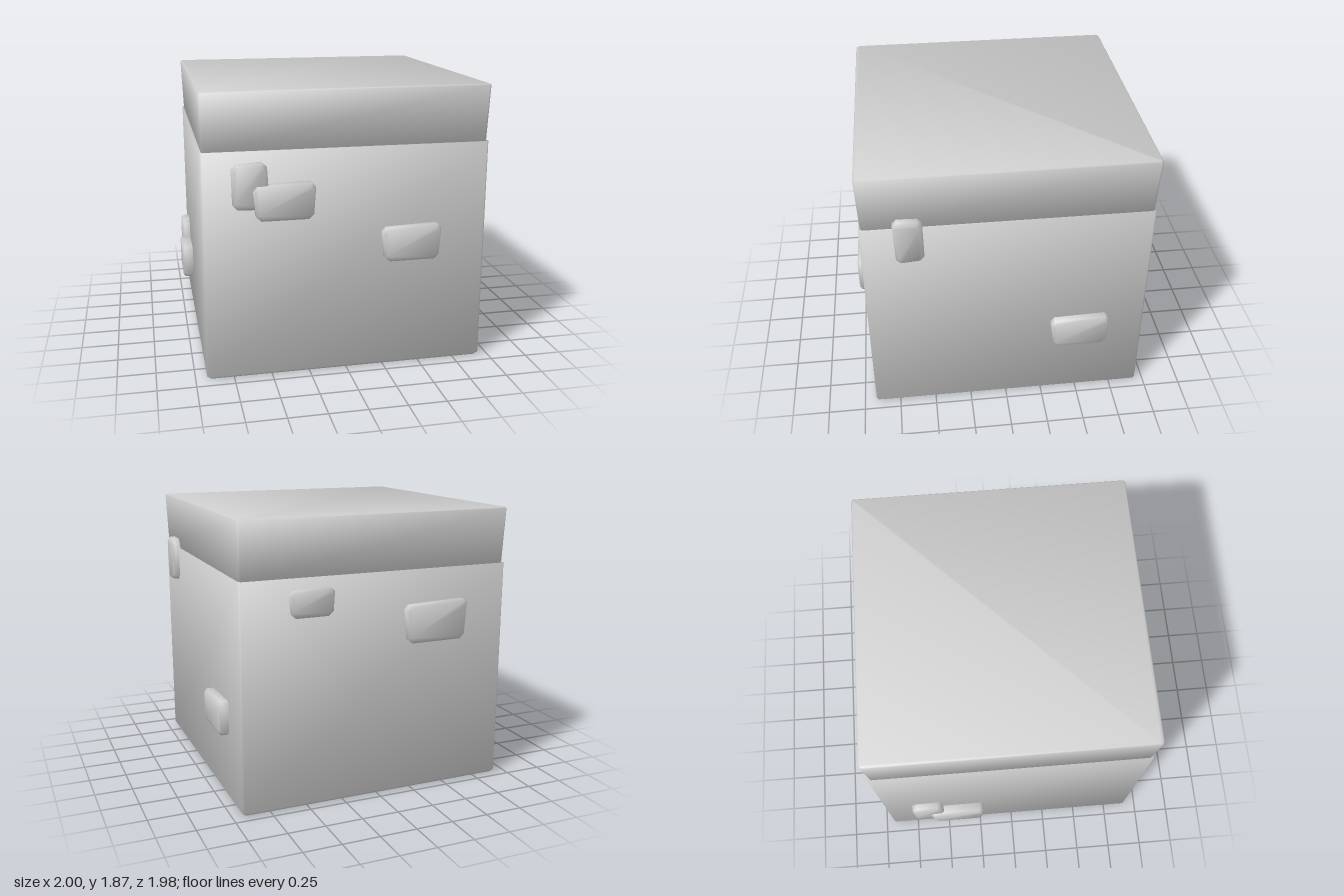
import * as THREE from 'three';

const material = new THREE.MeshStandardMaterial({ color: 0xcccccc });

// Ring of 8 points: a four-cornered outline, inset and with its corners cut.
function ring(corners, inset, cut, depth) {
  const centre = corners.reduce((s, c) => s.add(c), new THREE.Vector2()).divideScalar(4);
  const pts = corners.map(c => new THREE.Vector2(
    c.x - Math.sign(c.x - centre.x) * inset,
    c.y - Math.sign(c.y - centre.y) * inset));
  return pts.flatMap((p, i) => [pts[(i + 3) % 4], pts[(i + 1) % 4]].map(q => {
    const v = q.clone().sub(p).setLength(cut).add(p);
    return new THREE.Vector3(v.x, v.y, depth);
  }));
}

// Closed solid through the rings along +z, softened by equally weighted vertex normals.
function loft(rings) {
  const n = 8, points = rings.flat(), index = [];
  const normals = points.map(() => new THREE.Vector3());
  const face = ids => {
    const [a, b, c] = ids.map(i => points[i]);
    const normal = b.clone().sub(a).cross(c.clone().sub(a)).normalize();
    ids.forEach(i => normals[i].add(normal));
    for (let k = 1; k < ids.length - 1; k++) index.push(ids[0], ids[k], ids[k + 1]);
  };
  for (let r = 0; r < rings.length - 1; r++)
    for (let i = 0; i < n; i++) {
      const j = (i + 1) % n, o = r * n;
      face([o + i, o + j, o + n + j, o + n + i]);
    }
  const ends = [...Array(n).keys()];
  face(ends.map(i => n - 1 - i));
  face(ends.map(i => (rings.length - 1) * n + i));
  const geo = new THREE.BufferGeometry().setFromPoints(points);
  geo.setAttribute('normal', new THREE.Float32BufferAttribute(
    normals.flatMap(v => v.normalize().toArray()), 3));
  geo.setIndex(index);
  return geo;
}

const outline = list => list.map(([x, y]) => new THREE.Vector2(x, y));
const square = h => outline([[-h, -h], [h, -h], [h, h], [-h, h]]);

function addMesh(parent, name, geo) {
  const mesh = new THREE.Mesh(geo, material);
  mesh.name = name;
  parent.add(mesh);
  return mesh;
}

// Stone outlines in a unit frame (0..1 across, 0..1 up), anticlockwise.
const WIDE = [[0.06, 0], [0.96, 0], [1, 1], [0, 0.94]];
const TALL = [[0.02, 0.02], [1, 0], [0.93, 1], [0, 0.95]];
const TALL_TURNED = TALL.map(([x, y]) => [1 - x, 1 - y]);

// Each wall: turn about y, then stones as [shape, left, bottom, width, height, outer depth].
const WALLS = [
  ['front', 0, [
    [TALL, -0.74, 1.135, 0.235, 0.3, 0.973],
    [WIDE, -0.615, 1.065, 0.4, 0.235, 0.99],
    [WIDE, 0.22, 0.74, 0.4, 0.24, 0.973]]],
  ['right', Math.PI / 2, [
    [TALL_TURNED, -0.715, 1.255, 0.19, 0.315, 0.98],
    [WIDE, 0.295, 0.45, 0.4, 0.235, 0.998]]],
  ['back', Math.PI, [
    [WIDE, 0.17, 1.02, 0.455, 0.27, 0.99],
    [WIDE, -0.62, 1.25, 0.31, 0.185, 0.963]]],
  ['left', -Math.PI / 2, [
    [TALL, -0.74, 0.365, 0.235, 0.3, 0.983],
    [WIDE, -0.615, 0.29, 0.4, 0.24, 1.0]]],
];

export function createModel() {
  const model = new THREE.Group();
  model.name = 'block';

  // Main block and the flared cap resting on it
  const block = new THREE.Group();
  block.name = 'blockCore';
  block.position.set(0.005, 0, -0.012);
  model.add(block);
  addMesh(block, 'base', loft([
    ring(square(0.931), 0.015, 0.015, 0),
    ring(square(0.931), 0, 0.015, 0.018),
    ring(square(0.931), 0, 0.015, 1.5),
  ]).rotateX(-Math.PI / 2));
  addMesh(block, 'cap', loft([
    ring(square(0.919), 0, 0.015, 1.49),
    ring(square(0.932), 0, 0.015, 1.862),
    ring(square(0.932), 0.008, 0.015, 1.87),
  ]).rotateX(-Math.PI / 2));

  // Raised stones on the four walls
  for (const [side, turn, stones] of WALLS) {
    const wall = new THREE.Group();
    wall.name = side + 'Stones';
    wall.rotation.y = turn;
    model.add(wall);
    stones.forEach(([shape, left, bottom, w, h, outer], i) => {
      const corners = outline(shape.map(([u, v]) => [left + u * w, bottom + v * h]));
      addMesh(wall, side + 'Stone' + (i + 1), loft([
        ring(corners, 0, 0.03, 0.88),
        ring(corners, 0, 0.03, outer - 0.016),
        ring(corners, 0.016, 0.024, outer),
      ]));
    });
  }
  return model;
}
